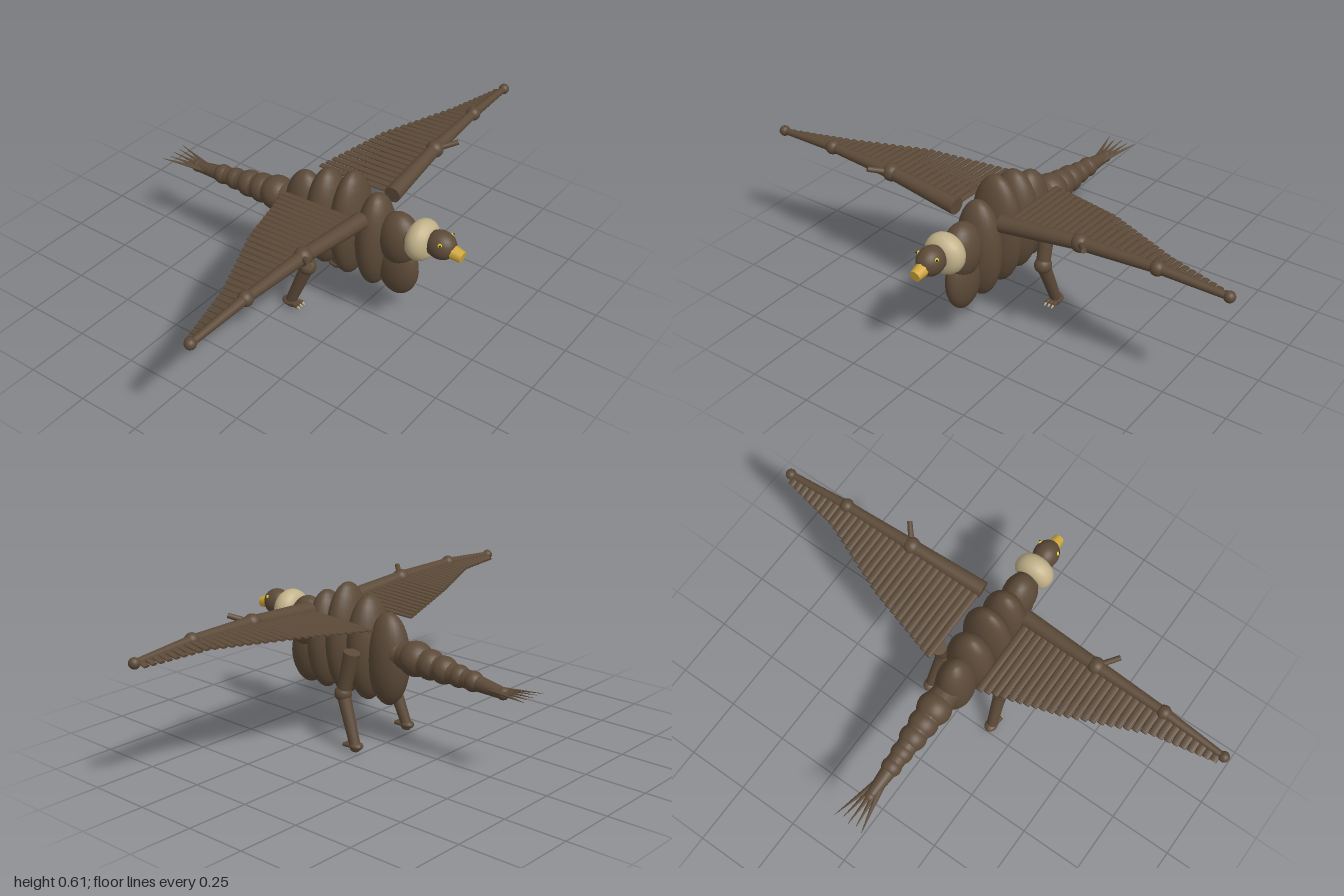
import * as THREE from 'three';

const mat = (name, color) => {
  const m = new THREE.MeshStandardMaterial({ color });
  m.name = name;
  return m;
};
const V = (x, y, z) => new THREE.Vector3(x, y, z);

export function createModel() {
  const brown = mat('brown plumage', 0x5c4a38);
  const cream = mat('cream ruff', 0xc2b28a);
  const gold = mat('gold beak', 0xd2a83a);
  const yellow = mat('yellow eye', 0xe6cc1c);
  const black = mat('black pupil', 0x15120f);

  const model = new THREE.Group();
  model.name = 'bird';

  const add = (parent, name, geo, material) => {
    const m = new THREE.Mesh(geo, material);
    m.name = name;
    parent.add(m);
    return m;
  };
  const ball = (parent, name, p, rx, ry = rx, rz = rx, material = brown) => {
    const m = add(parent, name, new THREE.SphereGeometry(1, 24, 16), material);
    m.position.copy(p);
    m.scale.set(rx, ry, rz);
    return m;
  };
  // Tapered rod from a to b; flat squashes its thickness
  const rod = (parent, name, a, b, ra, rb, material = brown, flat = 1, sides = 16) => {
    const dir = b.clone().sub(a);
    const m = add(parent, name, new THREE.CylinderGeometry(rb, ra, dir.length(), sides), material);
    m.position.copy(a).add(b).multiplyScalar(0.5);
    m.quaternion.setFromUnitVectors(V(0, 1, 0), dir.normalize());
    m.scale.z = flat;
    return m;
  };

  // Body segments: z, centre y, half width, half height, half length
  const body = new THREE.Group();
  body.name = 'body';
  model.add(body);
  [
    [0.41, 0.28, 0.05, 0.12, 0.086],
    [0.41, 0.405, 0.066, 0.11, 0.083],
    [0.31, 0.36, 0.092, 0.2, 0.07],
    [0.2, 0.385, 0.106, 0.225, 0.067],
    [0.09, 0.37, 0.1, 0.21, 0.075],
    [-0.01, 0.345, 0.075, 0.185, 0.088],
  ].forEach(([z, y, rx, ry, rz]) => ball(body, 'bodySegment', V(0, y, z), rx, ry, rz));

  // Neck, ruff and head
  rod(model, 'neck', V(0, 0.43, 0.4), V(0, 0.45, 0.57), 0.055, 0.04);
  const ruff = add(model, 'ruff', new THREE.TorusGeometry(0.034, 0.046, 16, 32), cream);
  ruff.position.set(0, 0.443, 0.507);
  const head = new THREE.Group();
  head.name = 'head';
  model.add(head);
  ball(head, 'skull', V(0, 0.455, 0.585), 0.05, 0.055, 0.06);
  rod(head, 'beak', V(0, 0.447, 0.63), V(0, 0.439, 0.675), 0.028, 0.022, gold, 1, 8);
  for (const s of [-1, 1]) {
    ball(head, 'eye', V(s * 0.039, 0.481, 0.602), 0.008, 0.008, 0.008, yellow);
    ball(head, 'pupil', V(s * 0.044, 0.483, 0.606), 0.004, 0.004, 0.004, black);
  }

  // Tail vertebrae joined by rods: z, y, radius
  const tail = new THREE.Group();
  tail.name = 'tail';
  model.add(tail);
  const bones = [
    [-0.05, 0.38, 0.06], [-0.145, 0.375, 0.068], [-0.215, 0.368, 0.058],
    [-0.28, 0.362, 0.053], [-0.35, 0.355, 0.043], [-0.415, 0.35, 0.039], [-0.548, 0.336, 0.024],
  ];
  bones.forEach(([z, y, r], i) => {
    ball(tail, 'tailSegment', V(0, y, z), r);
    const n = bones[i + 1];
    if (n) rod(tail, 'tailLink', V(0, y, z), V(0, n[1], n[0]), r * 0.82, n[2] * 0.9);
  });
  for (let i = -2; i <= 2; i++) {
    rod(tail, 'tailFeather', V(i * 0.007, 0.344, -0.5),
      V(i * 0.03, 0.351, -0.68 + (i % 2 ? 0.01 : 0)), 0.013, 0.001, brown, 0.5, 8);
  }

  // Wings: bony leading edge, thumb, and a row of flat feathers
  const joints = [[0.1, 0.497, 0.308], [0.417, 0.525, 0.29], [0.715, 0.532, 0.28], [0.978, 0.517, 0.269]];
  const radii = [0.033, 0.026, 0.019, 0.013];
  const knuckles = [0, 0.034, 0.028, 0.021];
  const trail = [-0.03, 0.06, 0.185, 0.24];
  for (const s of [-1, 1]) {
    const wing = new THREE.Group();
    wing.name = s > 0 ? 'leftWing' : 'rightWing';
    model.add(wing);
    const P = joints.map(([x, y, z]) => V(s * x, y, z));
    for (let i = 0; i < 3; i++) {
      rod(wing, 'wingBone', P[i], P[i + 1], radii[i], radii[i + 1]);
      ball(wing, 'wingJoint', P[i + 1], knuckles[i + 1]);
    }
    rod(wing, 'thumb', P[1], V(s * 0.475, 0.552, 0.358), 0.012, 0.01);
    const count = 30, step = 0.866 / count;
    for (let k = 0; k < count; k++) {
      const x = 0.102 + step * (k + 0.5);
      const i = x < 0.417 ? 0 : x < 0.715 ? 1 : 2;
      const t = (x - joints[i][0]) / (joints[i + 1][0] - joints[i][0]);
      const root = P[i].clone().lerp(P[i + 1], t);
      root.x = s * x;
      const tip = V(s * x, root.y - 0.012, THREE.MathUtils.lerp(trail[i], trail[i + 1], t));
      rod(wing, 'wingFeather', root, tip, 0.0165, 0.0135, brown, 0.4, 8);
    }
  }

  // Legs with three clawed toes
  for (const s of [-1, 1]) {
    const leg = new THREE.Group();
    leg.name = s > 0 ? 'leftLeg' : 'rightLeg';
    model.add(leg);
    const hip = V(s * 0.129, 0.388, 0.06), knee = V(s * 0.137, 0.218, 0.1), ankle = V(s * 0.15, 0.03, 0.03);
    rod(leg, 'thigh', hip, knee, 0.033, 0.026);
    ball(leg, 'knee', knee, 0.034);
    rod(leg, 'shin', knee, ankle, 0.027, 0.021);
    ball(leg, 'foot', V(s * 0.15, 0.026, 0.024), 0.025, 0.016, 0.03);
    for (const j of [-1, 0, 1]) {
      const x = s * 0.15 + j * 0.016;
      rod(leg, 'toe', V(s * 0.15 + j * 0.008, 0.026, 0.03), V(x, 0.026, 0.074), 0.011, 0.008, brown, 1, 8);
      rod(leg, 'claw', V(x, 0.026, 0.073), V(x, 0.019, 0.086), 0.006, 0.001, cream, 1, 6);
    }
    rod(leg, 'heelSpur', V(s * 0.15, 0.024, 0.03), V(s * 0.15, 0.027, -0.004), 0.011, 0.008, brown, 1, 8);
    ball(leg, 'footPad', V(s * 0.15, 0.012, 0.03), 0.015, 0.012, 0.022);
  }
  return model;
}
